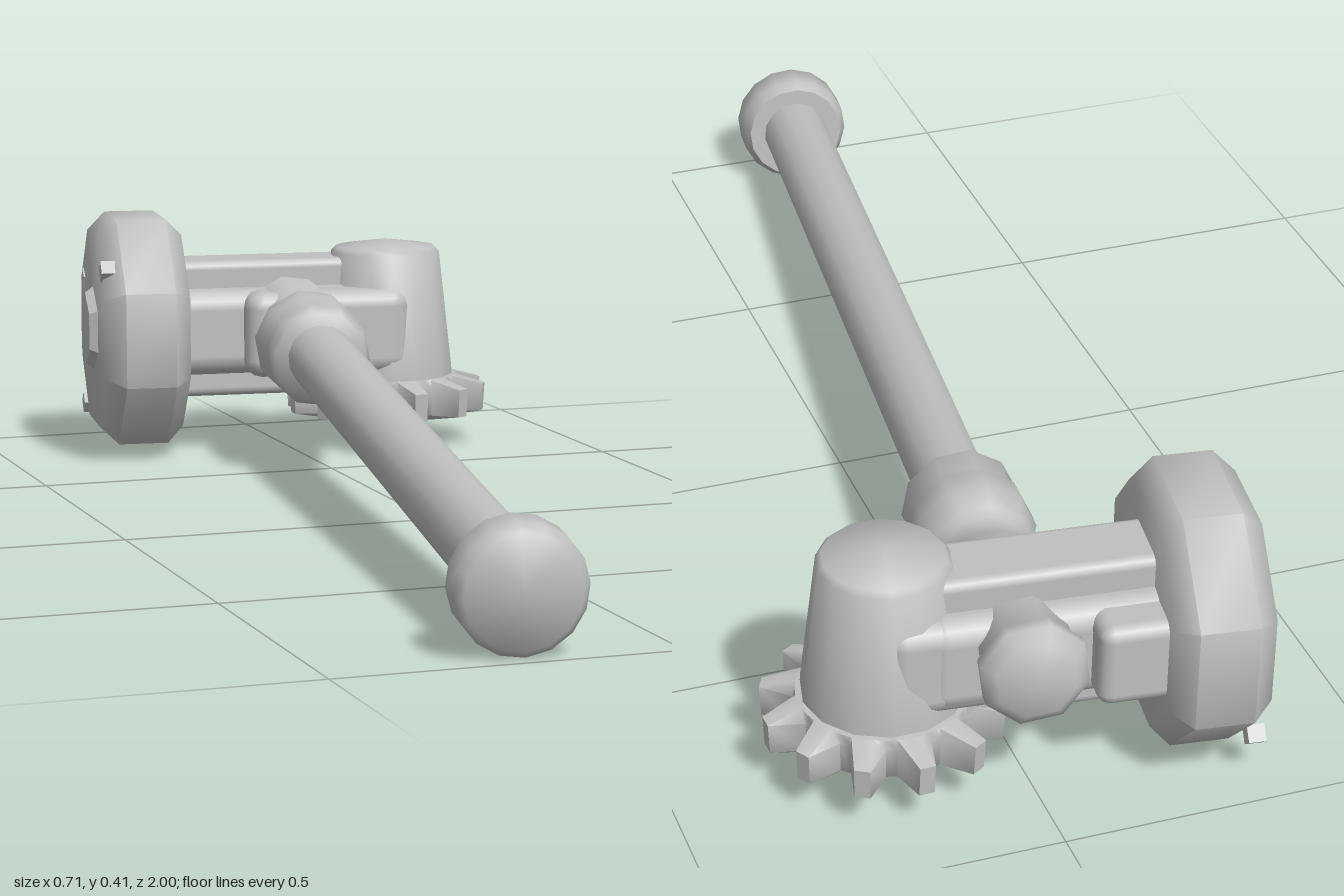
import * as THREE from 'three';
import { toCreasedNormals } from 'three/addons/utils/BufferGeometryUtils.js';
import { RoundedBoxGeometry } from 'three/addons/geometries/RoundedBoxGeometry.js';

export function createModel() {
  const root = new THREE.Group();
  root.name = 'warHammer';
  const steel = new THREE.MeshStandardMaterial({ color: 0xc0c0c0 });
  steel.name = 'steel grey';

  const add = (parent, name, geo, x = 0, y = 0, z = 0) => {
    const m = new THREE.Mesh(geo, steel);
    m.name = name;
    m.position.set(x, y, z);
    parent.add(m);
    return m;
  };
  // Turned part: [radius, height] pairs listed from bottom to top
  const lathe = (profile, sides, start) =>
    new THREE.LatheGeometry(profile.map(([r, h]) => new THREE.Vector2(r, h)), sides, start);
  const turned = (profile, sides, crease = 1.2) => toCreasedNormals(lathe(profile, sides, Math.PI / sides), crease);

  // Handle: local y runs from the pommel through the head
  const handle = new THREE.Group();
  handle.name = 'handle';
  handle.position.set(-0.225, 0.095, 0.988);
  handle.quaternion.setFromUnitVectors(new THREE.Vector3(0, 1, 0), new THREE.Vector3(0.13, 0.078, -1).normalize());
  root.add(handle);
  add(handle, 'pommel', turned([[0, 0], [0.082, 0], [0.093, 0.012], [0.093, 0.065], [0.082, 0.082], [0, 0.082]], 16, 0.85));
  add(handle, 'shaft', turned([[0.056, 0.06], [0.056, 1.5]], 14));
  add(handle, 'collar', turned([[0, 1.435], [0.078, 1.435], [0.088, 1.45], [0.083, 1.49], [0.092, 1.52],
    [0.092, 1.56], [0.078, 1.6], [0.066, 1.61], [0.066, 1.65], [0.082, 1.68], [0.082, 1.76]], 10));
  add(handle, 'rearNut', turned([[0.07, 1.8], [0.07, 1.895], [0.08, 1.915], [0.08, 1.935], [0.06, 1.95], [0, 1.954]], 8));

  // Head: slightly turned so that it stays square to the handle
  const head = new THREE.Group();
  head.name = 'head';
  head.position.set(-0.03, 0.22, -0.775);
  head.rotation.y = -0.1;
  root.add(head);
  const box = (name, w, h, d, r, x, y, z) => add(head, name, new RoundedBoxGeometry(w, h, d, 2, r), x, y, z);
  box('ribbedCore', 0.4, 0.238, 0.11, 0.015, -0.02, 0, 0);
  box('barrel', 0.4, 0.15, 0.19, 0.035, -0.02, -0.003, 0);
  box('socketBlock', 0.29, 0.15, 0.225, 0.03, 0.087, -0.005, 0.02);
  box('sideBlock', 0.14, 0.13, 0.08, 0.02, -0.13, 0, -0.1);

  // Striking disc with chamfered octagonal rim
  const disc = new THREE.Group();
  disc.name = 'strikingDisc';
  disc.position.set(-0.335, 0.222, -0.808);
  disc.rotation.set(0, -0.13, -Math.PI / 2, 'YXZ');
  root.add(disc);
  add(disc, 'discPlate', turned([[0, 0], [0.178, 0], [0.211, 0.032], [0.211, 0.118], [0.18, 0.146], [0, 0.146]], 8, 0.85));
  add(disc, 'faceNut', turned([[0, -0.014], [0.062, -0.014], [0.076, 0.005]], 6, 0.85));
  for (const [a, r] of [[0.72, 0.172], [2.6, 0.14], [4.0, 0.2]]) {
    const peg = add(disc, 'peg', new THREE.BoxGeometry(0.026, 0.026, 0.026), -Math.sin(a) * r, 0.01, Math.cos(a) * r);
    peg.rotation.y = -a;
  }

  // Upright cone tower, gear and bottom stud
  const tower = new THREE.Group();
  tower.name = 'tower';
  tower.position.set(0.18, 0, -0.738);
  root.add(tower);
  add(tower, 'towerBody', turned([[0.12, 0.1], [0.118, 0.14], [0.096, 0.345], [0.088, 0.354], [0, 0.367]], 14));
  add(tower, 'bottomStud', turned([[0, 0.01], [0.04, 0.01], [0.05, 0.052]], 8));

  // Gear: a disc whose rim is pulled in between the twelve teeth
  const rim = [[0, 0.05], [0.1, 0.052], [0.174, 0.064], [0.177, 0.112], [0.125, 0.127], [0, 0.13]];
  const gear = lathe(rim, 48, -0.03);
  const p = gear.attributes.position;
  for (let i = 0; i < p.count; i++) {
    const between = Math.floor(i / rim.length) % 4 > 1;
    if (between && rim[i % rim.length][0] > 0.13) {
      p.setX(i, p.getX(i) * 0.72);
      p.setZ(i, p.getZ(i) * 0.72);
    }
  }
  add(tower, 'gear', toCreasedNormals(gear, 1.2));
  return root;
}
